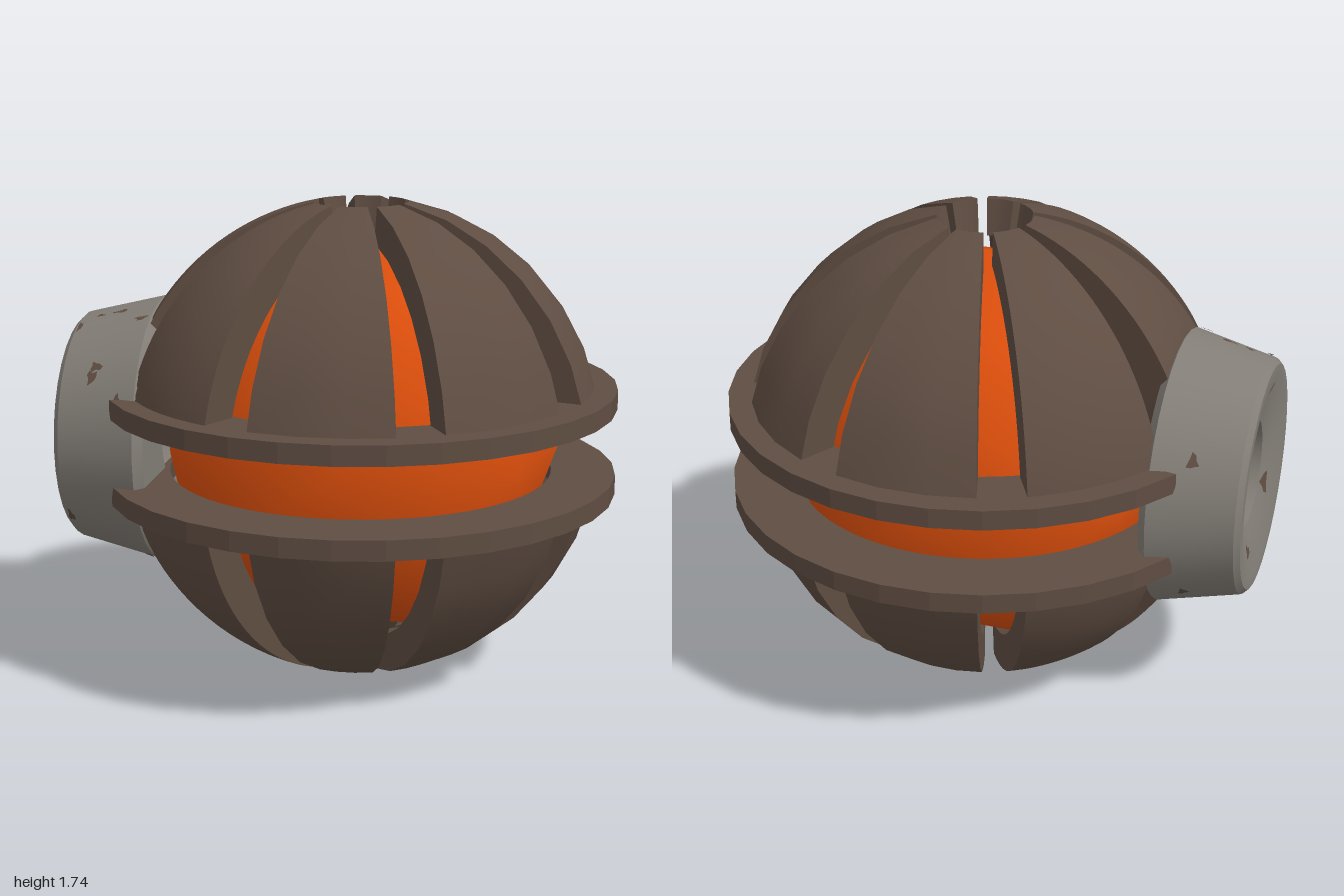
import * as THREE from 'three';
import { toCreasedNormals } from 'three/addons/utils/BufferGeometryUtils.js';

const CX = 0.055, CY = 0.87; // centre of the ball
const STEP = Math.PI / 16;   // 11.25 degrees
const CUT = -0.69;           // plane where the shell gives way to the nozzle

const brown = new THREE.MeshStandardMaterial({ color: 0x5f4d42 });
brown.name = 'rustyBrown';
const orange = new THREE.MeshStandardMaterial({ color: 0xdb4e0c });
orange.name = 'glowingOrange';
const grey = new THREE.MeshStandardMaterial({ color: 0x837e77 });
grey.name = 'wornGrey';

function add(parent, name, geometry, material) {
  const mesh = new THREE.Mesh(geometry, material);
  mesh.name = name;
  parent.add(mesh);
  return mesh;
}

// Bend a box into a thick spherical stave; flatten it where it meets the nozzle
function staveGeometry(lon, latMid, fine) {
  const g = new THREE.BoxGeometry(1, 1, 1, 3 * fine, 6 * fine, 1);
  const p = g.attributes.position;
  for (let i = 0; i < p.count; i++) {
    const a = lon + p.getX(i) * 3 * STEP;
    const lat = latMid + p.getY(i) * 6 * STEP;
    const r = p.getZ(i) > 0 ? 0.885 : 0.75;
    const x = CX + r * Math.cos(lat) * Math.sin(a);
    p.setXYZ(i, Math.max(x, CUT), CY + r * Math.sin(lat), r * Math.cos(lat) * Math.cos(a));
  }
  return toCreasedNormals(g, 0.45);
}

// Flat ring with a notch for the nozzle
function ringGeometry() {
  const R = 0.945, gap = 0.496, n = 28;
  const shape = new THREE.Shape();
  const zCut = R * Math.sin(gap);
  shape.moveTo(-0.67, -zCut + 0.02);
  for (let i = 0; i <= n; i++) {
    const a = -Math.PI + gap + (i / n) * 2 * (Math.PI - gap);
    shape.lineTo(CX + R * Math.cos(a), R * Math.sin(a));
  }
  shape.lineTo(-0.67, zCut - 0.02);
  const hole = new THREE.Path();
  hole.absarc(CX, 0, 0.71, 0, Math.PI * 2, true);
  shape.holes.push(hole);
  const g = new THREE.ExtrudeGeometry(shape, { depth: 0.072, bevelEnabled: false, curveSegments: 32 });
  return g.rotateX(-Math.PI / 2);
}

// Irregular rust blob in a plane
function blob(w, h, seed) {
  const pts = [];
  for (let i = 0; i < 9; i++) {
    const a = (i / 9) * Math.PI * 2;
    const k = 0.75 + 0.3 * Math.sin(i * 2.3 + seed * 1.7);
    pts.push(new THREE.Vector2(w * k * Math.cos(a), h * k * Math.sin(a)));
  }
  return new THREE.ShapeGeometry(new THREE.Shape(pts));
}

function wrap(g, rule) {
  const p = g.attributes.position;
  for (let i = 0; i < p.count; i++) p.setXYZ(i, ...rule(p.getX(i), p.getY(i)));
  g.computeVertexNormals();
  return g;
}

export function createModel() {
  const model = new THREE.Group();
  model.name = 'slattedBall';

  // Core
  const core = add(model, 'core', new THREE.IcosahedronGeometry(0.738, 1), orange);
  core.position.set(CX, CY, 0);

  // Eight staves above and eight below
  const shell = new THREE.Group();
  shell.name = 'shell';
  model.add(shell);
  for (const side of [1, -1]) {
    for (let i = 0; i < 8; i++) {
      const nearNozzle = i >= 5; // staves on the -x side
      add(shell, side > 0 ? 'upperStave' : 'lowerStave',
        staveGeometry(i * Math.PI / 4, side * 4 * STEP, nearNozzle ? 4 : 1), brown);
    }
  }

  // Rings either side of the open belt
  add(model, 'upperRing', ringGeometry(), brown).position.y = 1.0;
  add(model, 'lowerRing', ringGeometry(), brown).position.y = 0.68;

  // Nozzle with a dished face and a through hole
  const nozzle = new THREE.Group();
  nozzle.name = 'nozzle';
  nozzle.position.y = CY;
  model.add(nozzle);
  const profile = [[0.2, 0.655], [0.465, 0.655], [0.5, 0.685], [0.43, 0.98], [0.41, 1],
    [0.365, 1], [0.2, 0.95], [0.2, 0.655]].map(([r, y]) => new THREE.Vector2(r, y));
  const body = new THREE.LatheGeometry(profile, 32).rotateZ(Math.PI / 2);
  add(nozzle, 'nozzleBody', toCreasedNormals(body, 0.3), grey);

  // Rust on the nozzle wall: x, degrees from the top towards the front, half sizes
  const wallRust = [[-0.86, 55, 0.025, 0.035], [-0.965, 127, 0.015, 0.045], [-0.7, 151, 0.02, 0.03],
    [-0.82, -60, 0.025, 0.035], [-0.965, 22, 0.012, 0.04], [-0.9, 14, 0.02, 0.015],
    [-0.82, 14, 0.04, 0.016], [-0.72, 24, 0.035, 0.016], [-0.85, 50, 0.028, 0.025],
    [-0.75, 66, 0.02, 0.03], [-0.8, -130, 0.025, 0.03], [-0.9, 190, 0.02, 0.03]];
  wallRust.forEach(([x0, deg, w, h], i) => {
    const g = wrap(blob(w, h, i), (u, v) => {
      const x = x0 + u;
      const r = 0.43 + (x + 0.98) * 0.237 + 0.004;
      const a = deg * Math.PI / 180 - v / r;
      return [x, r * Math.cos(a), r * Math.sin(a)];
    });
    add(nozzle, 'wallRust', g, brown);
  });

  // Rust on the dished face: z, y, half sizes
  const faceRust = [[0.2, -0.13, 0.04, 0.05], [0.04, 0.33, 0.05, 0.02], [-0.12, -0.25, 0.04, 0.03]];
  faceRust.forEach(([z0, y0, w, h], i) => {
    const g = wrap(blob(w, h, i + 3), (u, v) => {
      const y = y0 + v, z = z0 + u;
      const t = THREE.MathUtils.clamp((Math.hypot(y, z) - 0.2) / 0.165, 0, 1);
      return [-0.955 - 0.05 * t, y, z];
    });
    add(nozzle, 'faceRust', g, brown);
  });

  return model;
}
